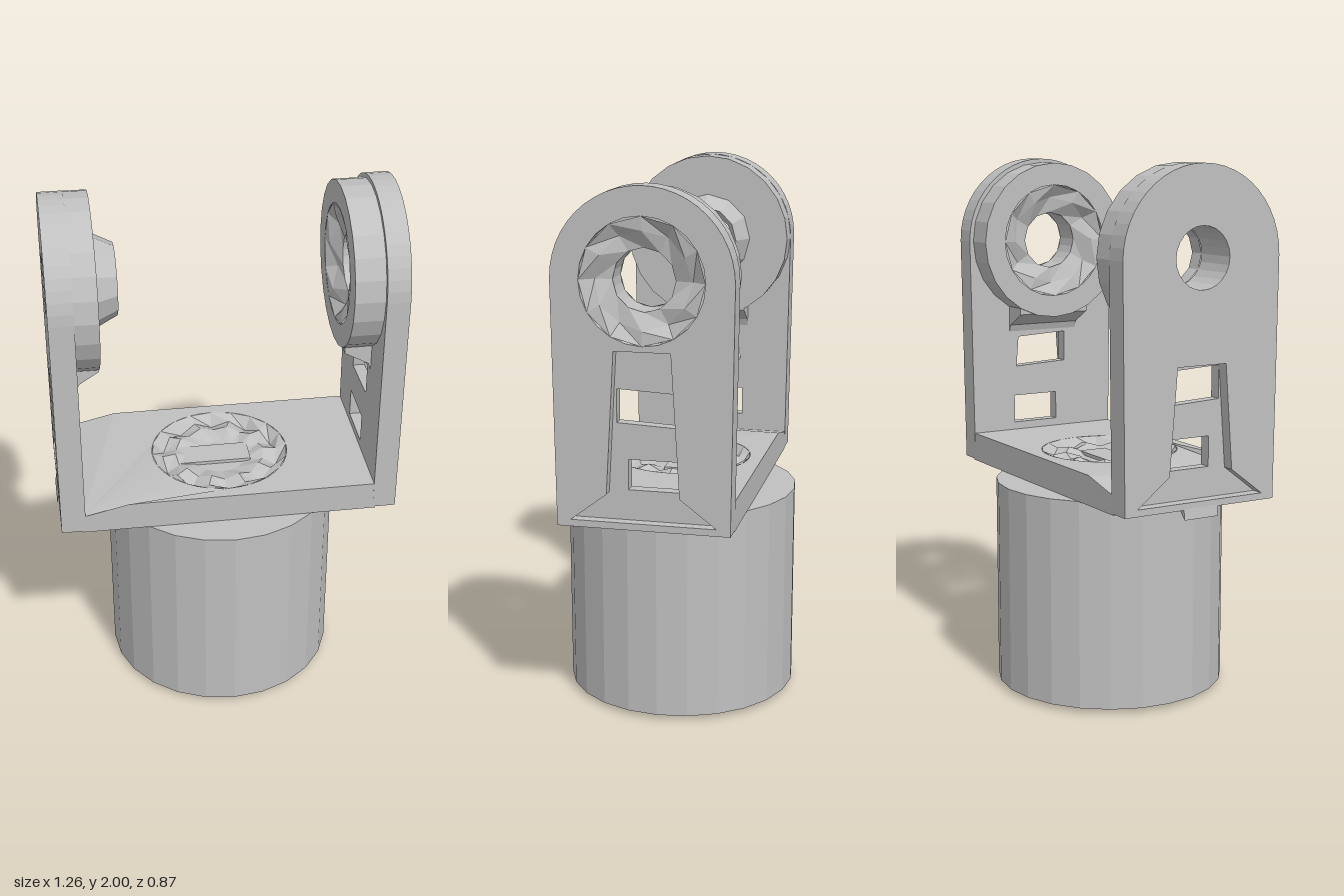
import * as THREE from 'three';

const grey = new THREE.MeshStandardMaterial({ color: 0xc0c0c0, flatShading: true, side: THREE.DoubleSide });
grey.name = 'light grey metal';
const AXLE_Y = 1.68;

const mesh = (name, geometry) => {
  const m = new THREE.Mesh(geometry, grey);
  m.name = name;
  return m;
};

const circle = (r, y = AXLE_Y, Type = THREE.Path) => new Type().absarc(0, y, r, 0, Math.PI * 2, false);

const poly = (pts, Type = THREE.Path) => {
  const p = new Type();
  pts.forEach(([x, y], i) => (i ? p.lineTo(x, y) : p.moveTo(x, y)));
  p.closePath();
  return p;
};

// Extrudes a (z, y) outline with holes along x, from x0 to x1
function slab(name, outline, holes, x0, x1) {
  outline.holes.push(...holes);
  const g = new THREE.ExtrudeGeometry(outline, { depth: x1 - x0, bevelEnabled: false, curveSegments: 12 });
  g.rotateY(-Math.PI / 2).translate(x1, 0, 0);
  return mesh(name, g);
}

// Lathe whose chosen profile rings zigzag up and down, for faceted pockets
function faceted(profile, segments, ripple) {
  const g = new THREE.LatheGeometry(profile.map(([r, y]) => new THREE.Vector2(r, y)), segments);
  const pos = g.attributes.position;
  for (let i = 0; i < pos.count; i++) {
    const ring = i % profile.length;
    const step = Math.floor(i / profile.length);
    pos.setY(i, pos.getY(i) + ripple[ring] * (step % 2 ? 1 : -1));
  }
  return g;
}

// Upright arm with a rounded top
function armOutline() {
  const s = new THREE.Shape();
  s.moveTo(-0.31, 0.805);
  s.lineTo(0.31, 0.805);
  s.lineTo(0.32, AXLE_Y);
  s.absarc(0, AXLE_Y, 0.32, 0, Math.PI, false);
  s.closePath();
  return s;
}

const windows = () => [
  poly([[-0.13, 0.94], [0.06, 0.94], [0.06, 1.05], [-0.13, 1.05]]),
  poly([[-0.12, 1.17], [0.1, 1.18], [0.1, 1.3], [-0.11, 1.29]]),
];
const recess = (top) => poly([[-0.26, 0.83], [0.26, 0.83], [0.13, 0.93], [0.1, top], [-0.1, top], [-0.13, 0.93]]);

// Faceted dish around the axle, facing along x
function dish(name, rimX, floorX) {
  const mid = (rimX + floorX) / 2;
  const g = faceted([[0.22, rimX], [0.17, mid], [0.11, floorX]], 12, [0, 0.015, 0]);
  g.rotateZ(-Math.PI / 2).translate(0, AXLE_Y, 0);
  return mesh(name, g);
}

export function createModel() {
  const model = new THREE.Group();
  model.name = 'swivelBracket';

  // Round base with a faceted pocket underneath
  model.add(mesh('base', faceted(
    [[0, 0.04], [0.12, 0.04], [0.2, 0.05], [0.28, 0.03], [0.37, 0.01], [0.435, 0.02], [0.435, 0.8], [0, 0.8]],
    24, [0, 0.01, 0.015, 0.012, 0.008, 0, 0, 0])));

  // Cross plate, sloping down at its right end, with a round pocket on top
  const plate = poly([[-0.55, -0.31], [-0.38, -0.31], [0.55, -0.31],
    [0.55, 0.31], [-0.38, 0.31], [-0.55, 0.31]], THREE.Shape);
  plate.holes.push(circle(0.26, 0));
  const plateGeo = new THREE.ExtrudeGeometry(plate, { depth: 0.11, bevelEnabled: false, curveSegments: 20 });
  plateGeo.rotateX(-Math.PI / 2).translate(0, 0.8, 0);
  const pp = plateGeo.attributes.position;
  for (let i = 0; i < pp.count; i++) {
    if (pp.getY(i) > 0.9 && pp.getX(i) < -0.5) pp.setY(i, 0.87);
  }
  model.add(mesh('crossPlate', plateGeo));
  model.add(mesh('platePocket', faceted(
    [[0.26, 0.91], [0.22, 0.88], [0.17, 0.895], [0.1, 0.875], [0, 0.875]], 20, [0, 0.015, 0.008, 0, 0])));
  model.add(mesh('centrePad', new THREE.BoxGeometry(0.27, 0.03, 0.11).translate(-0.02, 0.873, -0.01)));

  // Right arm: flat outside, smooth boss and hub inside
  const right = new THREE.Group();
  right.name = 'rightArm';
  right.add(
    slab('armOuter', armOutline(), [recess(1.31), circle(0.11)], -0.63, -0.585),
    slab('armInner', armOutline(), [...windows(), circle(0.11)], -0.585, -0.54),
    slab('boss', circle(0.32, AXLE_Y, THREE.Shape), [circle(0.11)], -0.54, -0.455),
  );
  const hub = new THREE.LatheGeometry(
    [[0.17, 0], [0.13, 0.08], [0.11, 0.06], [0.11, 0]].map(([r, y]) => new THREE.Vector2(r, y)), 12);
  hub.rotateZ(-Math.PI / 2).translate(-0.455, AXLE_Y, 0);
  right.add(mesh('hub', hub));
  model.add(right);

  // Small lip hanging below the right arm
  const lip = new THREE.ExtrudeGeometry(poly([[-0.635, 0.77], [-0.595, 0.81], [-0.63, 0.81]], THREE.Shape),
    { depth: 0.14, bevelEnabled: false });
  lip.translate(0, 0, -0.07);
  right.add(mesh('lip', lip));

  // Left arm: faceted dishes on both faces of the boss
  const left = new THREE.Group();
  left.name = 'leftArm';
  left.add(
    slab('armOuter', armOutline(), [recess(1.44), circle(0.22)], 0.585, 0.625),
    slab('armInner', armOutline(), [...windows(), circle(0.11)], 0.54, 0.585),
    slab('boss', circle(0.305, AXLE_Y, THREE.Shape), [circle(0.11)], 0.475, 0.54),
    slab('bossRim', circle(0.305, AXLE_Y, THREE.Shape), [circle(0.22)], 0.43, 0.475),
    dish('outerDish', 0.625, 0.585),
    dish('innerDish', 0.43, 0.475),
  );
  model.add(left);

  // Sloped webs blending each boss into its arm
  for (const [arm, side, inner] of [[right, -1, 0.455], [left, 1, 0.44]]) {
    const web = poly([[0.545, 1.3], [0.545, 1.46], [inner, 1.46], [inner, 1.39], [0.53, 1.34]], THREE.Shape);
    const g = new THREE.ExtrudeGeometry(web, { depth: 0.3, bevelEnabled: false });
    g.translate(0, 0, -0.15);
    if (side < 0) g.rotateY(Math.PI);
    arm.add(mesh('bossWeb', g));
  }
  return model;
}
